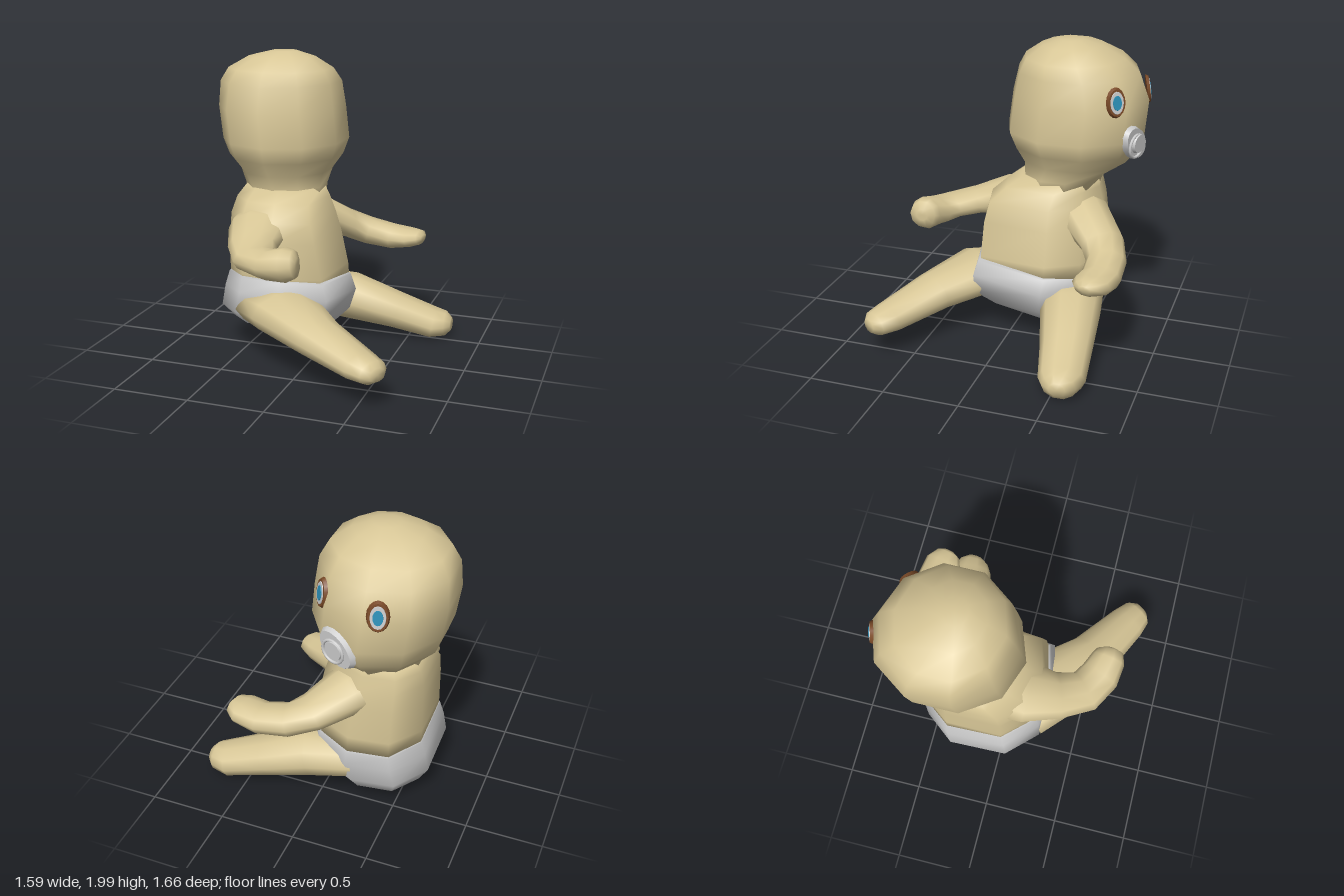
import * as THREE from 'three';

const mat = (color) => new THREE.MeshStandardMaterial({ color, roughness: 0.8 });

// Closed smooth skin over a list of rings (equal numbers of points)
function loft(name, rings, material) {
  const n = rings[0].length, pos = [], idx = [];
  rings.forEach((r) => r.forEach((p) => pos.push(p.x, p.y, p.z)));
  for (let i = 0; i < rings.length - 1; i++) {
    for (let j = 0; j < n; j++) {
      const a = i * n + j, b = i * n + (j + 1) % n;
      idx.push(a, a + n, b, b, a + n, b + n);
    }
  }
  [0, rings.length - 1].forEach((k, end) => {
    const c = new THREE.Vector3();
    rings[k].forEach((p) => c.addScaledVector(p, 1 / n));
    const ci = pos.length / 3;
    pos.push(c.x, c.y, c.z);
    for (let j = 0; j < n; j++) {
      const a = k * n + j, b = k * n + (j + 1) % n;
      if (end) idx.push(ci, b, a); else idx.push(ci, a, b);
    }
  });
  const g = new THREE.BufferGeometry();
  g.setAttribute('position', new THREE.Float32BufferAttribute(pos, 3));
  g.setIndex(idx);
  g.computeVertexNormals();
  const mesh = new THREE.Mesh(g, material);
  mesh.name = name;
  return mesh;
}

// Outlines seen from above, as [x, z] within -1..1
const headOutline = Array.from({ length: 10 }, (_, j) => {
  const a = ((j + 0.5) / 10) * Math.PI * 2;
  return [Math.cos(a) / Math.cos(Math.PI / 10), Math.sin(a)];
});
const bodyOutline = [[1, -0.24], [0.88, 0.84], [0.14, 1], [-0.55, 0.9], [-1, 0.45],
  [-1, -0.45], [-0.6, -0.92], [0.1, -1], [0.68, -0.74]];

// Upright body from levels [y, xMin, xMax, zMin, zMax]
function stack(name, outline, levels, material, tilt = 0) {
  return loft(name, levels.map(([y, x0, x1, z0, z1]) => outline.map(([u, v]) => {
    const z = (z0 + z1) / 2 + v * (z1 - z0) / 2;
    return new THREE.Vector3((x0 + x1) / 2 + u * (x1 - x0) / 2, y + tilt * (z + 0.17), z);
  })), material);
}

// Limb along stations [x, y, z, half width, half height]
function limb(name, stations, material, sides = 10) {
  const pts = stations.map((s) => new THREE.Vector3(s[0], s[1], s[2]));
  return loft(name, stations.map((s, i) => {
    const t = pts[Math.min(i + 1, pts.length - 1)].clone().sub(pts[Math.max(i - 1, 0)]).normalize();
    const side = t.clone().cross(new THREE.Vector3(0, 1, 0)).normalize();
    const up = side.clone().cross(t);
    return Array.from({ length: sides }, (_, j) => {
      const a = (j / sides) * Math.PI * 2;
      return pts[i].clone().addScaledVector(side, Math.cos(a) * s[3]).addScaledVector(up, Math.sin(a) * s[4]);
    });
  }), material);
}

// Group placed on the head with its +z along the given direction
function onFace(name, position, normal) {
  const g = new THREE.Group();
  g.name = name;
  g.position.set(...position);
  g.lookAt(new THREE.Vector3(...position).add(new THREE.Vector3(...normal)));
  return g;
}

// Thin oval disc facing +z
function disc(name, rx, ry, depth, z, material) {
  const geo = new THREE.CylinderGeometry(0.88, 1, depth, 16).rotateX(Math.PI / 2).scale(rx, ry, 1);
  const m = new THREE.Mesh(geo, material);
  m.name = name;
  m.position.z = z;
  return m;
}

export function createModel() {
  const model = new THREE.Group();
  model.name = 'seatedBaby';
  const skin = mat(0xd8c797), grey = mat(0xcccccc), brown = mat(0x7a4a28), blue = mat(0x2c90b8);

  // Head
  model.add(stack('head', headOutline, [
    [0.98, -0.58, -0.06, -0.5, -0.02],
    [1.1, -0.59, -0.06, -0.54, 0.0],
    [1.19, -0.64, -0.05, -0.68, 0.02],
    [1.29, -0.725, 0.015, -0.77, 0.08],
    [1.4, -0.76, 0.055, -0.8, 0.125],
    [1.62, -0.795, 0.025, -0.815, 0.105],
    [1.79, -0.78, 0.005, -0.75, 0.065],
    [1.88, -0.72, -0.04, -0.65, 0.015],
    [1.96, -0.58, -0.15, -0.5, -0.1],
    [1.997, -0.43, -0.26, -0.38, -0.21],
  ], skin));

  // Torso
  model.add(stack('torso', bodyOutline, [
    [0.45, -0.63, 0.13, -0.59, 0.25],
    [0.57, -0.63, 0.12, -0.59, 0.25],
    [0.8, -0.63, 0.07, -0.58, 0.24],
    [0.93, -0.625, 0.03, -0.56, 0.21],
    [1.03, -0.61, -0.02, -0.53, 0.1],
    [1.1, -0.57, -0.07, -0.52, 0.0],
  ], skin));

  // Diaper with a sloping waistline
  model.add(stack('diaper', bodyOutline, [
    [0.115, -0.48, -0.12, -0.4, 0.0],
    [0.16, -0.62, 0.04, -0.52, 0.16],
    [0.26, -0.68, 0.14, -0.58, 0.3],
    [0.4, -0.66, 0.18, -0.6, 0.29],
    [0.5, -0.635, 0.14, -0.6, 0.265],
    [0.515, -0.625, 0.12, -0.585, 0.245],
  ], grey, 0.12));

  // Arms
  model.add(limb('rightArm', [
    [-0.35, 0.87, -0.1, 0.24, 0.18],
    [-0.37, 0.86, 0.14, 0.21, 0.125],
    [-0.33, 0.81, 0.34, 0.16, 0.09],
    [-0.25, 0.78, 0.5, 0.145, 0.08],
    [-0.12, 0.78, 0.575, 0.135, 0.095],
    [0.0, 0.8, 0.605, 0.115, 0.11],
    [0.055, 0.81, 0.605, 0.09, 0.09],
    [0.07, 0.81, 0.605, 0.04, 0.04],
  ], skin));
  model.add(limb('leftArm', [
    [-0.34, 0.88, -0.24, 0.2, 0.16],
    [-0.17, 0.85, -0.47, 0.18, 0.14],
    [0.0, 0.75, -0.63, 0.15, 0.1],
    [0.14, 0.69, -0.69, 0.13, 0.095],
    [0.32, 0.66, -0.7, 0.13, 0.085],
    [0.46, 0.67, -0.675, 0.13, 0.065],
    [0.53, 0.68, -0.66, 0.085, 0.05],
    [0.55, 0.68, -0.655, 0.04, 0.02],
  ], skin));

  // Legs
  model.add(limb('rightLeg', [
    [-0.29, 0.34, 0.09, 0.27, 0.12],
    [-0.13, 0.365, 0.27, 0.25, 0.14],
    [0.17, 0.305, 0.49, 0.175, 0.12],
    [0.5, 0.24, 0.68, 0.135, 0.09],
    [0.595, 0.23, 0.735, 0.11, 0.075],
    [0.63, 0.23, 0.76, 0.06, 0.045],
  ], skin));
  model.add(limb('leftLeg', [
    [-0.2, 0.31, -0.4, 0.2, 0.15],
    [0.1, 0.27, -0.45, 0.2, 0.16],
    [0.4, 0.18, -0.51, 0.17, 0.125],
    [0.66, 0.1, -0.555, 0.15, 0.105],
    [0.75, 0.1, -0.56, 0.11, 0.085],
    [0.79, 0.1, -0.56, 0.055, 0.045],
  ], skin));

  // Eyes: rim, white and iris
  [['leftEye', [-0.475, 1.67, -0.785], [-0.3, 0.14, -0.95]],
    ['rightEye', [-0.09, 1.67, -0.665], [0.74, 0.14, -0.67]]].forEach(([name, p, d]) => {
    const eye = onFace(name, p, d);
    eye.add(disc('rim', 0.068, 0.098, 0.02, 0, brown),
      disc('eyeWhite', 0.052, 0.08, 0.02, 0.004, grey),
      disc('iris', 0.034, 0.052, 0.02, 0.008, blue));
    model.add(eye);
  });

  // Pacifier: shield, button and handle ring
  const pacifier = onFace('pacifier', [-0.22, 1.38, -0.765], [0.33, -0.03, -0.94]);
  pacifier.rotateZ(-0.7);
  const ring = new THREE.Mesh(new THREE.TorusGeometry(0.075, 0.01, 8, 20), grey);
  ring.name = 'handleRing';
  ring.position.set(0, -0.02, 0.022);
  pacifier.add(disc('shield', 0.148, 0.1, 0.035, 0, grey), disc('button', 0.068, 0.068, 0.04, 0.02, grey), ring);
  model.add(pacifier);

  return model;
}
